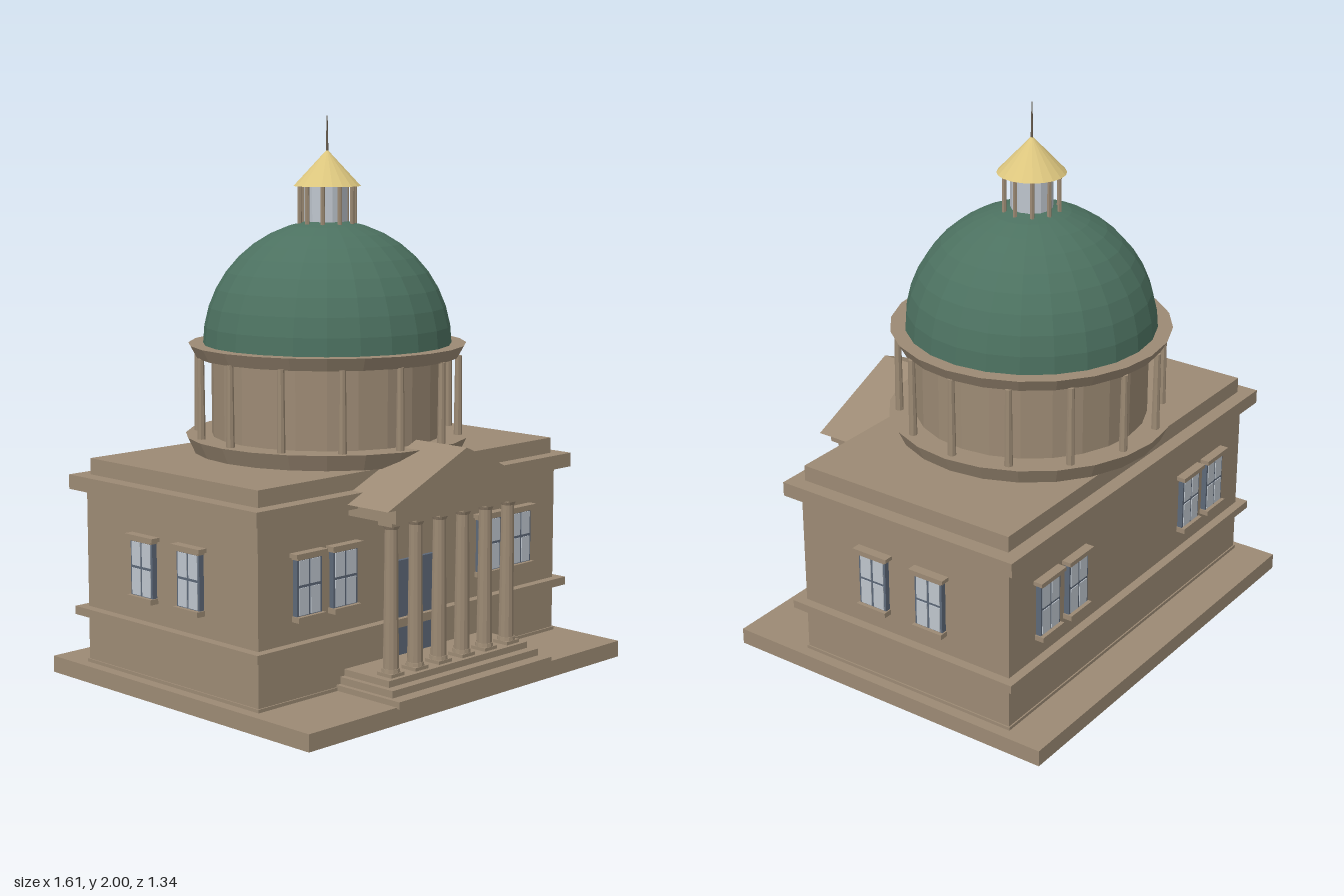
import * as THREE from 'three';

const mat = (name, color) => {
  const m = new THREE.MeshStandardMaterial({ color, flatShading: true });
  m.name = name;
  return m;
};

export function createModel() {
  const stone = mat('stone', 0x9c8a74);
  const green = mat('domeGreen', 0x4c7160);
  const gold = mat('gold', 0xdcc67e);
  const glass = mat('glass', 0xbec5cd);
  const slate = mat('slate', 0x5d6878);
  const iron = mat('iron', 0x655b4d);
  const CZ = -0.07; // centre line of the main block and dome

  const model = new THREE.Group();
  model.name = 'domedHall';
  const group = (name, parent = model) => {
    const g = new THREE.Group();
    g.name = name;
    parent.add(g);
    return g;
  };
  const add = (parent, name, geo, m, x = 0, y = 0, z = 0) => {
    const mesh = new THREE.Mesh(geo, m);
    mesh.name = name;
    mesh.position.set(x, y, z);
    parent.add(mesh);
    return mesh;
  };
  // Box given by width, depth, bottom and top
  const slab = (parent, name, w, d, y0, y1, x, z, m = stone) =>
    add(parent, name, new THREE.BoxGeometry(w, y1 - y0, d), m, x, (y0 + y1) / 2, z);
  // Round part given by top and bottom radius, bottom and top
  const round = (parent, name, rTop, rBot, y0, y1, sides, x, z, m = stone) =>
    add(parent, name, new THREE.CylinderGeometry(rTop, rBot, y1 - y0, sides), m, x, (y0 + y1) / 2, z);

  // Main block with its projecting courses
  slab(model, 'plinth', 1.61, 1.325, 0, 0.06, 0, -0.006);
  slab(model, 'walls', 1.52, 0.888, 0.06, 0.69, 0, CZ);
  slab(model, 'wallFoot', 1.53, 0.898, 0.06, 0.072, 0, CZ);
  slab(model, 'beltCourse', 1.59, 0.955, 0.235, 0.265, 0, CZ);
  slab(model, 'cornice', 1.61, 0.976, 0.69, 0.742, 0, CZ);
  slab(model, 'attic', 1.50, 0.87, 0.742, 0.8, 0, CZ);

  // Windows: built facing +z at the wall plane, then turned to each side
  const addWindow = (x, z, turn) => {
    const w = group('window');
    w.position.set(x, 0, z);
    w.rotation.y = turn;
    slab(w, 'windowFrame', 0.115, 0.03, 0.345, 0.555, 0, 0.005, slate);
    for (const sx of [-1, 1]) {
      slab(w, 'pane', 0.044, 0.004, 0.36, 0.453, sx * 0.027, 0.021, glass);
      slab(w, 'pane', 0.044, 0.004, 0.463, 0.546, sx * 0.027, 0.021, glass);
    }
    slab(w, 'lintel', 0.125, 0.04, 0.55, 0.56, 0, 0.01);
    slab(w, 'lintelCap', 0.145, 0.05, 0.558, 0.572, 0, 0.01);
    slab(w, 'sill', 0.125, 0.05, 0.338, 0.357, 0, 0.01);
  };
  for (const x of [-0.545, -0.375, 0.375, 0.545]) {
    addWindow(x, 0.374, 0);
    addWindow(x, -0.514, Math.PI);
  }
  for (const z of [0.05, -0.193]) {
    addWindow(0.76, z, Math.PI / 2);
    addWindow(-0.76, z, -Math.PI / 2);
  }

  // Entrance door
  slab(model, 'door', 0.26, 0.03, 0.13, 0.468, 0, 0.374, slate);

  // Portico: steps, columns, beam and gable
  const portico = group('portico');
  [[0.795, 0.667, 0.055, 0.08], [0.76, 0.62, 0.08, 0.105], [0.72, 0.585, 0.105, 0.128]]
    .forEach(([w, front, y0, y1]) =>
      slab(portico, 'step', w, front - 0.37, y0, y1, 0, (front + 0.37) / 2));
  for (let i = 0; i < 6; i++) {
    const c = group('porticoColumn', portico);
    c.position.set(-0.3 + i * 0.12, 0, 0.536);
    slab(c, 'columnBase', 0.066, 0.066, 0.128, 0.14, 0, 0);
    round(c, 'columnFoot', 0.031, 0.033, 0.14, 0.153, 12, 0, 0);
    round(c, 'shaft', 0.023, 0.028, 0.153, 0.635, 12, 0, 0);
    round(c, 'columnNeck', 0.031, 0.024, 0.632, 0.646, 12, 0, 0);
    slab(c, 'capital', 0.064, 0.064, 0.645, 0.66, 0, 0);
  }
  slab(portico, 'beam', 0.68, 0.225, 0.66, 0.713, 0, 0.4825);
  const tri = new THREE.Shape([
    new THREE.Vector2(-0.39, 0.71), new THREE.Vector2(0.39, 0.71), new THREE.Vector2(0, 0.88),
  ]);
  add(portico, 'gable', new THREE.ExtrudeGeometry(tri, { depth: 0.235, bevelEnabled: false }), stone, 0, 0, 0.37);

  // Drum with its ring of columns
  const drum = group('drum');
  drum.position.z = CZ;
  round(drum, 'drumBase', 0.515, 0.488, 0.8, 0.857, 24, 0, 0);
  round(drum, 'drumWall', 0.42, 0.42, 0.85, 1.145, 24, 0, 0);
  round(drum, 'drumCornice', 0.503, 0.478, 1.142, 1.187, 24, 0, 0);
  for (let i = 0; i < 14; i++) {
    const a = (i / 14) * Math.PI * 2;
    round(drum, 'drumColumn', 0.012, 0.015, 0.855, 1.145, 8, Math.cos(a) * 0.475, Math.sin(a) * 0.475);
  }

  // Dome
  add(model, 'dome', new THREE.SphereGeometry(0.45, 24, 10, 0, Math.PI * 2, 0, Math.PI / 2), green, 0, 1.18, CZ);

  // Lantern, cone roof and spire
  const lantern = group('lantern');
  lantern.position.z = CZ;
  round(lantern, 'lanternGlass', 0.075, 0.075, 1.6, 1.752, 12, 0, 0, glass);
  for (let i = 0; i < 10; i++) {
    const a = (i / 10) * Math.PI * 2;
    round(lantern, 'lanternColumn', 0.008, 0.008, 1.58, 1.752, 6, Math.cos(a) * 0.1, Math.sin(a) * 0.1);
  }
  round(lantern, 'lanternRoof', 0, 0.122, 1.75, 1.88, 20, 0, 0, gold);
  round(lantern, 'spire', 0.002, 0.005, 1.865, 2, 6, 0, 0, iron);

  return model;
}
